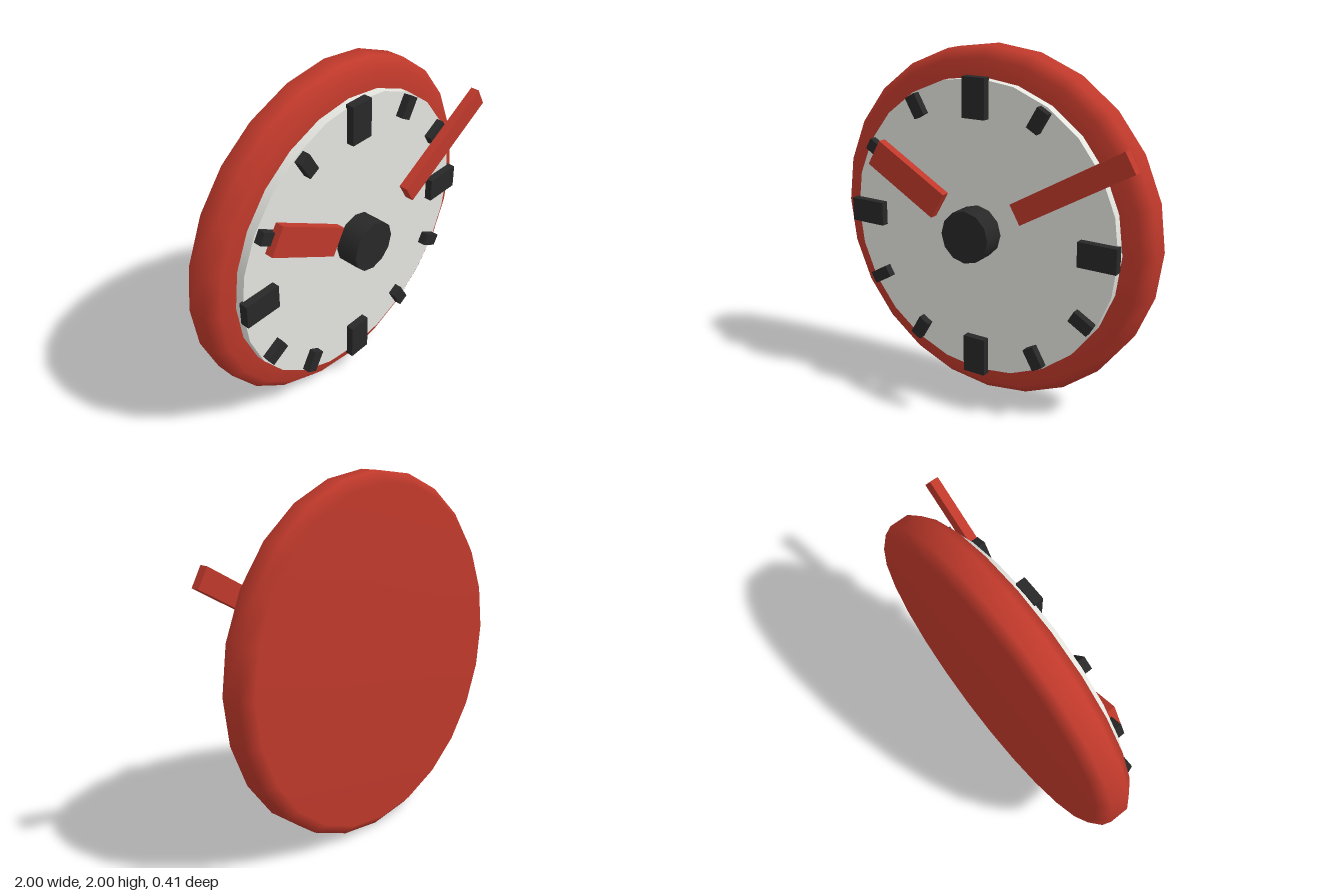
import * as THREE from 'three';

export function createModel() {
  const red = new THREE.MeshStandardMaterial({ name: 'red', color: 0xc0392b });
  const white = new THREE.MeshStandardMaterial({ name: 'offWhite', color: 0xe5e5e0 });
  const black = new THREE.MeshStandardMaterial({ name: 'black', color: 0x282828 });

  const clock = new THREE.Group();
  clock.name = 'clock';
  clock.position.y = 1;

  const add = (name, geometry, material) => {
    const mesh = new THREE.Mesh(geometry, material);
    mesh.name = name;
    clock.add(mesh);
    return mesh;
  };

  // Disc facing +z, spanning z0 to z1
  const disc = (name, radius, sides, z0, z1, material) =>
    add(name, new THREE.CylinderGeometry(radius, radius, z1 - z0, sides)
      .rotateX(Math.PI / 2).translate(0, 0, (z0 + z1) / 2), material);

  // Bar pointing outward from the centre, at a clock hour
  const bar = (name, hour, width, r0, r1, z0, z1, material) => {
    const geometry = new THREE.BoxGeometry(width, r1 - r0, z1 - z0)
      .translate(0, (r0 + r1) / 2, (z0 + z1) / 2);
    add(name, geometry, material).rotation.z = -hour * Math.PI / 6;
  };

  // Casing with softly bevelled rim and closed back
  const profile = [
    [0, -0.205], [0.94, -0.205], [1, -0.15], [1, -0.04], [0.94, 0.018], [0.8, 0.018],
  ].map(([r, z]) => new THREE.Vector2(r, z));
  add('casing', new THREE.LatheGeometry(profile, 24).rotateX(Math.PI / 2), red);

  // Dial and centre hub
  disc('dial', 0.84, 24, -0.1, 0.068, white);
  disc('hub', 0.148, 12, -0.1, 0.202, black);

  // Hour markers: long and wide at the quarters
  for (let hour = 0; hour < 12; hour++) {
    if (hour % 3 === 0) bar('quarterMarker', hour, 0.138, 0.63, 0.85, 0.06, 0.112, black);
    else bar('hourMarker', hour, 0.07, 0.7, 0.826, 0.06, 0.112, black);
  }

  // Hands, floating clear of the hub
  bar('hourHand', 10, 0.165, 0.25, 0.75, 0.095, 0.145, red);
  bar('minuteHand', 2, 0.12, 0.356, 1.076, 0.146, 0.196, red);

  const model = new THREE.Group();
  model.name = 'wallClock';
  model.add(clock);
  return model;
}
